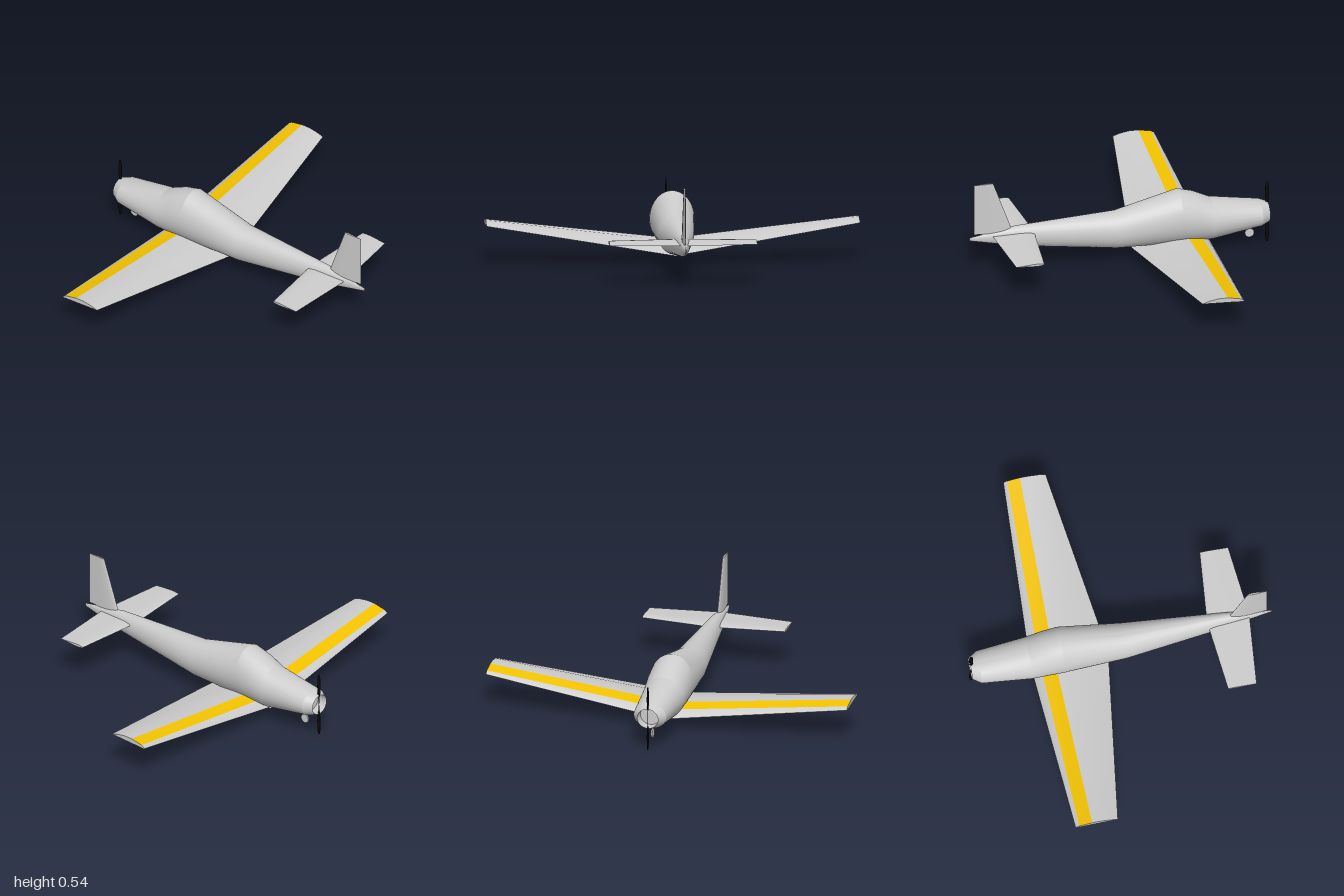
import * as THREE from 'three';
import { toCreasedNormals } from 'three/addons/utils/BufferGeometryUtils.js';

const paint = (color) => new THREE.MeshStandardMaterial({ color, side: THREE.DoubleSide });
const grey = paint(0xcccccc);
const yellow = paint(0xf2c200);
const black = paint(0x0a0a0a);

// Skin a row of closed rings; cols picks which strips around the ring are built.
function loft(rings, { cols = () => true, caps = true, crease = 0.25 } = {}) {
  const n = rings[0].length;
  const pos = [];
  const tri = (...pts) => pts.forEach((p) => pos.push(...p));
  for (let i = 0; i < rings.length - 1; i++) {
    for (let j = 0; j < n; j++) {
      if (!cols(j)) continue;
      const k = (j + 1) % n;
      const a = rings[i][j], b = rings[i][k], c = rings[i + 1][k], d = rings[i + 1][j];
      tri(a, b, c);
      tri(a, c, d);
    }
  }
  if (caps) {
    [rings[0], rings[rings.length - 1]].forEach((ring, end) => {
      const mid = [0, 1, 2].map((q) => ring.reduce((s, p) => s + p[q], 0) / n);
      for (let j = 0; j < n; j++) {
        const a = ring[j], b = ring[(j + 1) % n];
        if (end) tri(a, b, mid);
        else tri(b, a, mid);
      }
    });
  }
  const geo = new THREE.BufferGeometry();
  geo.setAttribute('position', new THREE.Float32BufferAttribute(pos, 3));
  return toCreasedNormals(geo, crease);
}

// Thin symmetric section: [distance from trailing edge, half thickness], both 0..1
const half = [[0, 0], [0.3, 0.45], [0.6, 0.95], [0.8, 1], [0.93, 0.7], [0.98, 0.35], [1, 0]];
const section = [...half, ...half.slice(1, -1).reverse().map(([s, t]) => [s, -t])];

export function createModel() {
  const model = new THREE.Group();
  const add = (name, geo, mat = grey) => {
    const mesh = new THREE.Mesh(geo, mat);
    mesh.name = name;
    model.add(mesh);
    return mesh;
  };

  // Fuselage stations: z, bottom, top, half width (the first is the recessed nose intake)
  const stations = [
    [-0.76, 0.13, 0.235, 0.055],
    [-0.817, 0.128, 0.237, 0.058],
    [-0.77, 0.112, 0.253, 0.09],
    [-0.5, 0.068, 0.3, 0.113],
    [-0.41, 0.067, 0.345, 0.118],
    [-0.325, 0.067, 0.37, 0.12],
    [0.02, 0.075, 0.283, 0.095],
    [0.57, 0.15, 0.266, 0.038],
    [0.825, 0.207, 0.225, 0.003],
  ];
  const sides = 64;
  add('fuselage', loft(stations.map(([z, lo, hi, w]) =>
    Array.from({ length: sides }, (_, i) => {
      const a = (i / sides) * Math.PI * 2;
      return [Math.cos(a) * w, (lo + hi) / 2 + Math.sin(a) * (hi - lo) / 2, z];
    }))));

  // Wing profile: centre z, centre y, tip z, tip y, from trailing edge over the top
  const profile = [
    [-0.065, 0.056, -0.21, 0.203],
    [-0.2, 0.092, -0.25, 0.216],
    [-0.28, 0.105, -0.3, 0.224],
    [-0.36, 0.109, -0.35, 0.223],
    [-0.44, 0.096, -0.42, 0.209],
    [-0.475, 0.078, -0.434, 0.201],
    [-0.49, 0.06, -0.44, 0.194],
    [-0.48, 0.053, -0.436, 0.191],
    [-0.437, 0.05, -0.427, 0.191],
    [-0.4, 0.05, -0.4, 0.193],
  ];
  const wingRings = [1, 0, -1].map((x) =>
    profile.map(([z0, y0, z1, y1]) => (x ? [x, y1, z1] : [x, y0, z0])));
  const isStripe = (j) => j === 3 || j === 8;
  add('wing', loft(wingRings, { cols: (j) => !isStripe(j), crease: 0.6 }));
  add('wingStripe', loft(wingRings, { cols: isStripe, caps: false }), yellow);

  // Tailplane: x, leading z, trailing z, half thickness
  const tailStations = [
    [0.395, 0.51, 0.665, 0.007],
    [0, 0.472, 0.703, 0.01],
    [-0.395, 0.51, 0.665, 0.007],
  ];
  add('tailplane', loft(tailStations.map(([x, lead, trail, t]) =>
    section.map(([s, h]) => [x, 0.226 + h * t, trail + (lead - trail) * s])), { crease: 0.6 }));

  // Fin: y, leading z, trailing z, half thickness
  const finStations = [[0.24, 0.59, 0.8, 0.011], [0.537, 0.695, 0.8, 0.005]];
  add('fin', loft(finStations.map(([y, lead, trail, t]) =>
    section.map(([s, h]) => [h * t, y, trail + (lead - trail) * s])), { crease: 0.6 }));

  // Propeller: two slim blades meeting in a thin shank
  const propeller = new THREE.Group();
  propeller.name = 'propeller';
  propeller.position.set(0, 0.183, -0.812);
  const bladePoints = [[0.002, 0], [0.003, 0.04], [0.008, 0.06], [0.011, 0.1], [0.01, 0.15], [0.006, 0.175], [0, 0.183]]
    .map(([r, y]) => new THREE.Vector2(r, y));
  const bladeGeo = new THREE.LatheGeometry(bladePoints, 16).scale(0.5, 1, 1);
  for (const turn of [0, Math.PI]) {
    const blade = new THREE.Mesh(bladeGeo, black);
    blade.name = 'propellerBlade';
    blade.rotation.z = turn;
    propeller.add(blade);
  }
  model.add(propeller);

  // Thin wheels on the centre line
  const wheelGeo = new THREE.CylinderGeometry(0.025, 0.025, 0.008, 32).rotateZ(Math.PI / 2);
  [['noseWheel', -0.715], ['mainWheel', -0.467]].forEach(([name, z]) =>
    add(name, wheelGeo).position.set(0, 0.065, z));

  return model;
}
